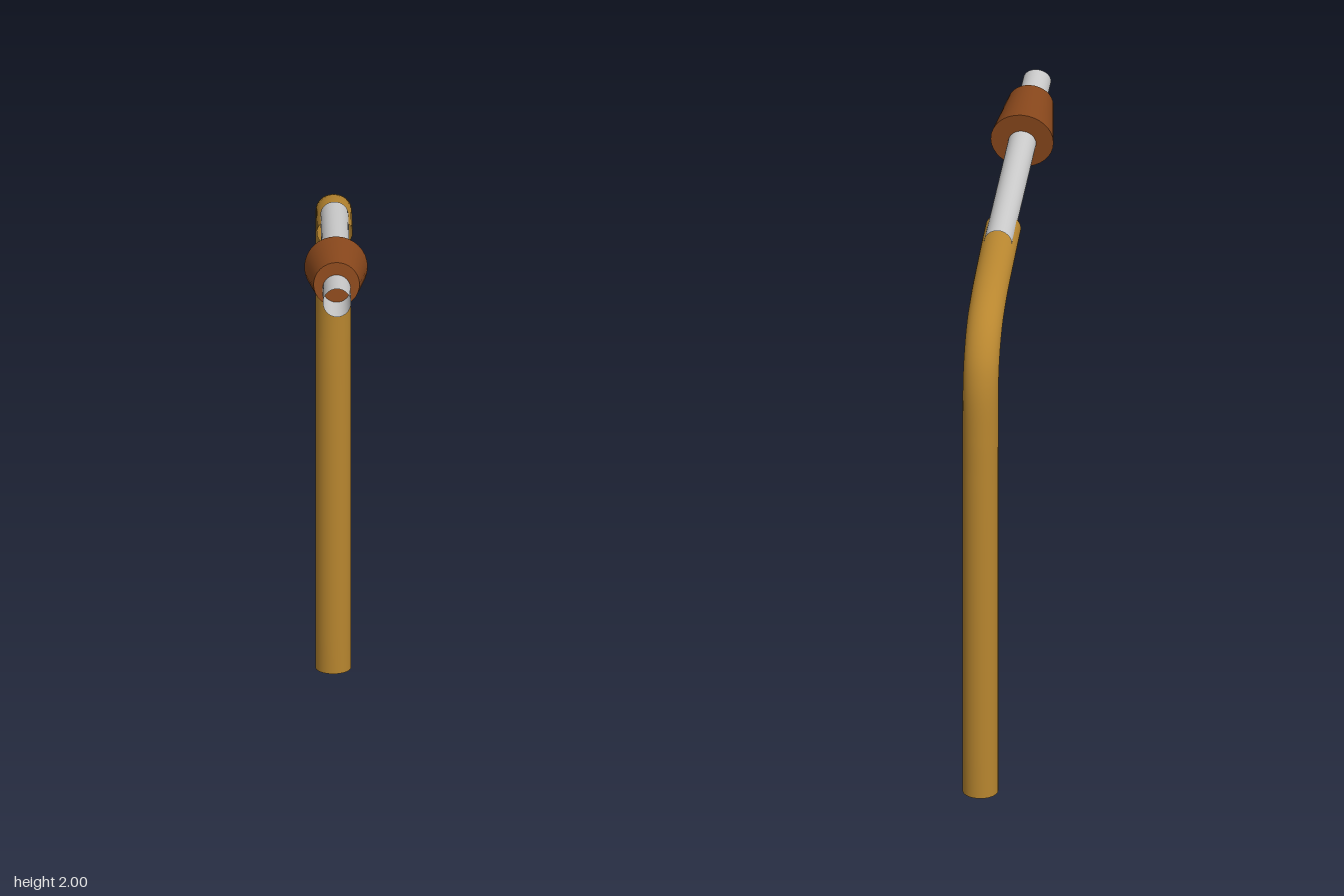
import * as THREE from 'three';

const SIDES = 32;

// A ring across the YZ plane: centre, half axis lying in that plane, half width along x
const ring = (z, y, upZ, upY, rx) => ({ z, y, upZ, upY, rx });

// Skin a list of rings running from front to back
function loft(rings) {
  const pos = [], idx = [];
  rings.forEach((r, i) => {
    for (let j = 0; j < SIDES; j++) {
      const a = (j / SIDES) * Math.PI * 2, c = Math.cos(a);
      pos.push(r.rx * Math.sin(a), r.y + r.upY * c, r.z + r.upZ * c);
      if (i === rings.length - 1) continue;
      const k = (j + 1) % SIDES, p = i * SIDES, q = p + SIDES;
      idx.push(p + j, p + k, q + j, p + k, q + k, q + j);
    }
  });
  const g = new THREE.BufferGeometry();
  g.setAttribute('position', new THREE.Float32BufferAttribute(pos, 3));
  g.setIndex(idx);
  g.computeVertexNormals();
  return g;
}

function addPart(parent, name, rings, material) {
  const mesh = new THREE.Mesh(loft(rings), material);
  mesh.name = name;
  parent.add(mesh);
}

const paint = (color) => new THREE.MeshStandardMaterial({ color, side: THREE.DoubleSide });

export function createModel() {
  const model = new THREE.Group();
  model.name = 'bentPipe';
  const ochre = paint(0xb8862f), grey = paint(0xcccccc), brown = paint(0x8a481c);

  // Hollow bent pipe: centre line from the front opening, round the bend, to the foot
  const path = new THREE.CatmullRomCurve3([
    [-0.117, 1.818], [-0.26, 1.794], [-0.49, 1.745], [-0.6, 1.692],
    [-0.668, 1.61], [-0.696, 1.52], [-0.703, 1.34], [-0.704, 1.2], [-0.704, 0],
  ].map(([z, y]) => new THREE.Vector3(0, y, z)));
  const steps = 64, pipeRings = [];
  for (let i = 0; i <= steps; i++) {
    const t = i / steps, p = path.getPoint(t);
    const d = path.getTangent(t);
    // slightly flattened through the bend, round down the post
    const r = THREE.MathUtils.lerp(0.052, 0.06, THREE.MathUtils.smoothstep(p.y, 1.3, 1.7) * -1 + 1);
    if (i === 0) pipeRings.push(ring(p.z, p.y, 0, 0.051, 0.06));
    else if (i === steps) pipeRings.push(ring(p.z, 0, -0.06, 0, 0.06));
    else pipeRings.push(ring(p.z, p.y, r * d.y, -r * d.z, 0.06));
  }
  addPart(model, 'bentTube', pipeRings, ochre);

  // Straight open mouth tube with a slanted front end
  addPart(model, 'mouthTube', [
    ring(0.757, 1.928, -0.012, 0.046, 0.047),
    ring(-0.254, 1.827, 0.001, 0.047, 0.047),
  ], grey);

  // Tapered collar around the mouth tube, closed at both ends
  const front = ring(0.59, 1.925, -0.012, 0.075, 0.077);
  const back = ring(0.369, 1.897, -0.016, 0.104, 0.106);
  const centre = (r) => ring(r.z, r.y, 0, 0, 0);
  const collar = new THREE.Group();
  collar.name = 'collar';
  addPart(collar, 'collarFront', [centre(front), front], brown);
  addPart(collar, 'collarSide', [front, back], brown);
  addPart(collar, 'collarBack', [back, centre(back)], brown);
  model.add(collar);

  return model;
}
